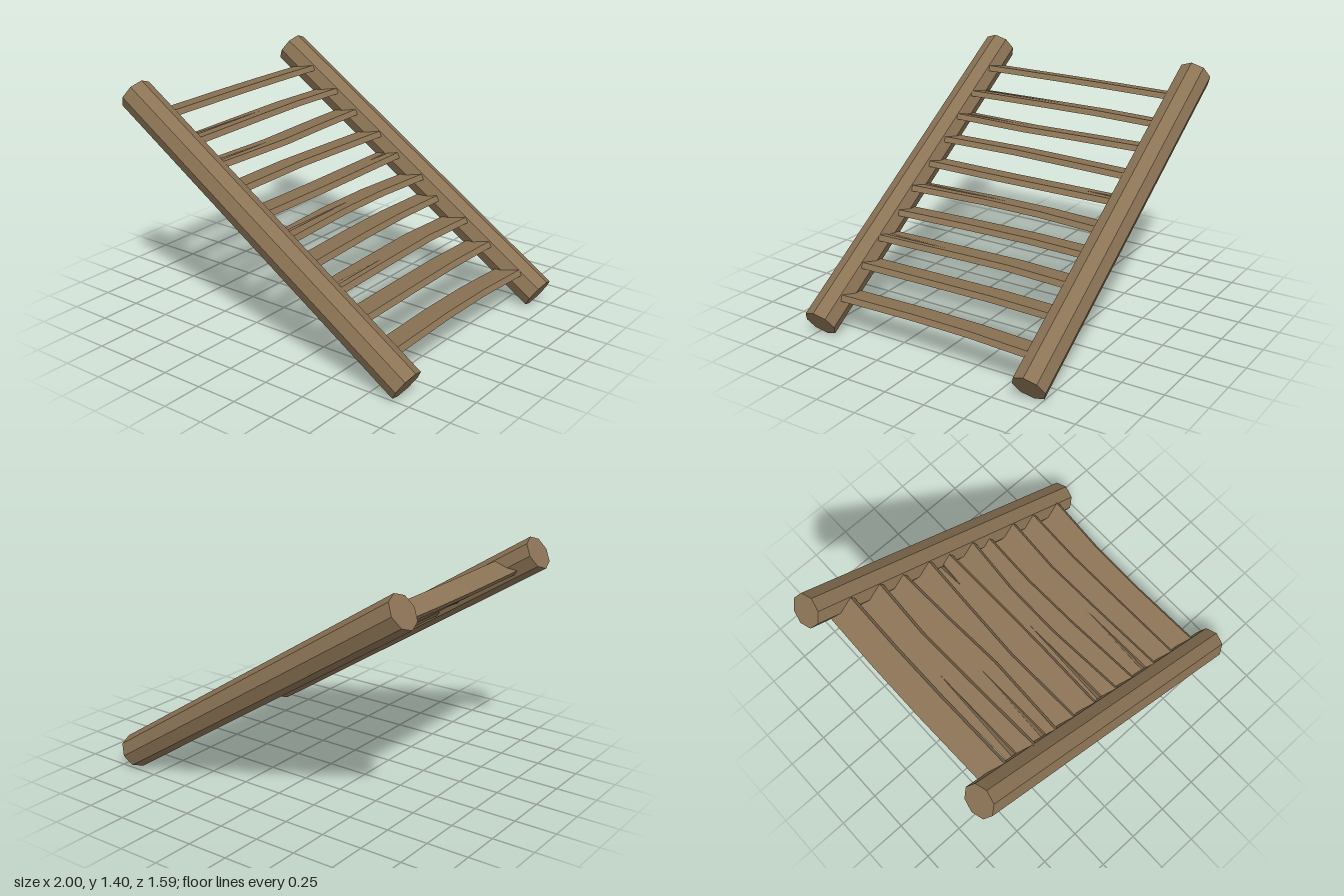
import * as THREE from 'three';

// Plank z stations
const ZS = [-0.68, -0.25, 0.12, 0.68];
// Each plank: centre height, lower-edge x at each station, width, optional split [x, start z, direction]
const PLANKS = [
  { y: 1.22, r: [-0.69, -0.70, -0.70, -0.69], w: 0.172 },
  { y: 1.10, r: [-0.50, -0.52, -0.51, -0.49], w: 0.175, split: [-0.62, 0.0, 1] },
  { y: 0.99, r: [-0.35, -0.335, -0.315, -0.33], w: 0.175, split: [-0.415, 0.1, 1] },
  { y: 0.88, r: [-0.16, -0.18, -0.195, -0.18], w: 0.175 },
  { y: 0.77, r: [-0.02, -0.015, -0.01, -0.015], w: 0.175, split: [-0.115, -0.43, -1] },
  { y: 0.665, r: [0.165, 0.13, 0.13, 0.165], w: 0.175, split: [0.04, 0.0, 1] },
  { y: 0.555, r: [0.285, 0.27, 0.28, 0.31], w: 0.175 },
  { y: 0.458, r: [0.49, 0.465, 0.475, 0.495], w: 0.18, split: [0.41, 0.09, 1] },
  { y: 0.343, r: [0.66, 0.645, 0.65, 0.66], w: 0.175 },
  { y: 0.213, r: [0.875, 0.845, 0.84, 0.855], w: 0.175 },
];

function sampleEdge(values, z) {
  let i = 0;
  while (i < ZS.length - 2 && z > ZS[i + 1]) i++;
  return THREE.MathUtils.lerp(values[i], values[i + 1], (z - ZS[i]) / (ZS[i + 1] - ZS[i]));
}

// Slanted plank section, optionally with a V-shaped split opening towards one end
function section({ y, r, w, split }, z) {
  const right = sampleEdge(r, z), left = right - w;
  const top = x => y + 0.03 * (x - left) / (w - 0.02);
  const pts = [[left, y]];
  if (split) {
    const [x, start, dir] = split;
    const open = THREE.MathUtils.clamp((z - start) * dir / (0.68 - start * dir), 0, 1);
    const half = 0.001 + 0.016 * open;
    pts.push([x - half, top(x - half)], [x + half * 0.7, top(x) - 0.03 * open], [x + half, top(x + half)]);
  }
  pts.push([right - 0.02, y + 0.03], [right, y], [left + 0.02, y - 0.03]);
  return pts.map(p => [p[0], p[1], z]);
}

function plankGeometry(plank) {
  const stations = [...ZS];
  if (plank.split) stations.push(plank.split[1]);
  stations.sort((a, b) => a - b);
  const rings = stations.map(z => section(plank, z));
  const pos = [];
  for (let k = 0; k < rings.length - 1; k++) {
    const a = rings[k], b = rings[k + 1];
    for (let i = 0; i < a.length; i++) {
      const j = (i + 1) % a.length;
      pos.push(...a[i], ...b[i], ...a[j], ...a[j], ...b[i], ...b[j]);
    }
  }
  const g = new THREE.BufferGeometry();
  g.setAttribute('position', new THREE.Float32BufferAttribute(pos, 3));
  g.computeVertexNormals();
  return g;
}

export function createModel() {
  const model = new THREE.Group();
  model.name = 'woodenSteps';
  const wood = new THREE.MeshStandardMaterial({ color: 0x8b7355, flatShading: true, side: THREE.DoubleSide });
  wood.name = 'wood';

  // Sloping octagonal side rails
  const railGeometry = new THREE.CylinderGeometry(0.101, 0.101, 2.258, 8);
  for (const side of [-1, 1]) {
    const rail = new THREE.Mesh(railGeometry, wood);
    rail.name = side > 0 ? 'frontRail' : 'backRail';
    rail.position.set(0, 0.707, side * 0.695);
    rail.rotation.z = Math.atan2(1.9, 1.235);
    model.add(rail);
  }

  // Treads, their ends buried in the rails
  const treads = new THREE.Group();
  treads.name = 'treads';
  PLANKS.forEach((plank, i) => {
    const tread = new THREE.Mesh(plankGeometry(plank), wood);
    tread.name = `tread${i + 1}`;
    treads.add(tread);
  });
  model.add(treads);
  return model;
}
